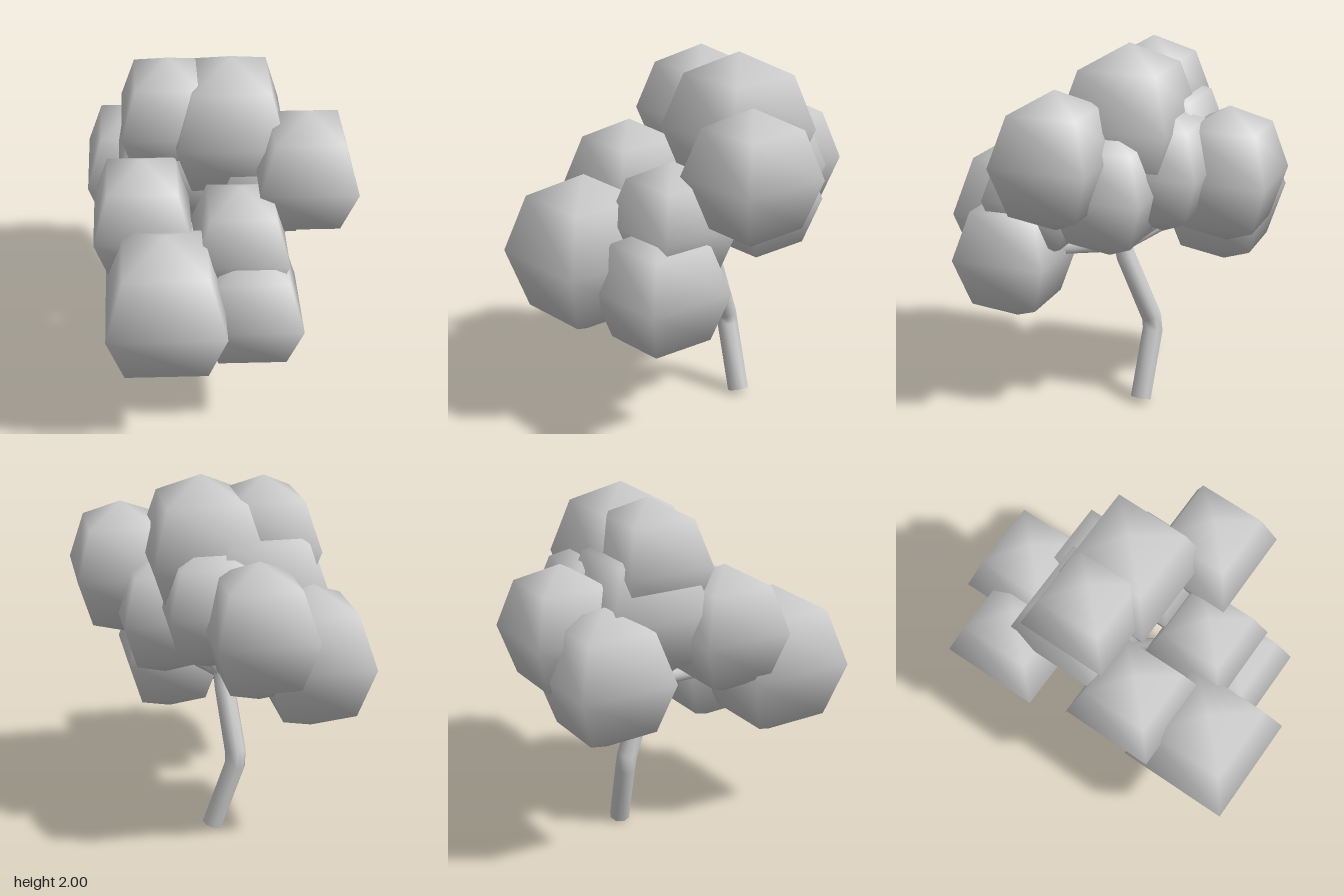
import * as THREE from 'three';

const V = (x, y, z) => new THREE.Vector3(x, y, z);
const material = new THREE.MeshStandardMaterial({ color: 0xcccccc });

// Tapered limb: one ring per point, square to the mean direction, with closed ends
function limb(points, radii, sides = 8) {
  const pos = [], index = [], n = points.length;
  points.forEach((p, i) => {
    const dir = points[Math.min(i + 1, n - 1)].clone().sub(points[Math.max(i - 1, 0)]).normalize();
    const ref = Math.abs(dir.y) > 0.6 ? V(0, 0, 1) : V(0, 1, 0);
    const u = ref.cross(dir).normalize();
    const v = dir.clone().cross(u);
    for (let k = 0; k < sides; k++) {
      const a = (k / sides) * Math.PI * 2;
      const q = p.clone().addScaledVector(u, Math.cos(a) * radii[i]).addScaledVector(v, Math.sin(a) * radii[i]);
      pos.push(q.x, q.y, q.z);
      const k2 = (k + 1) % sides;
      if (i < n - 1) {
        const b = i * sides, c = b + sides;
        index.push(b + k, b + k2, c + k, b + k2, c + k2, c + k);
      }
    }
  });
  // End caps with their own vertices, so the rims stay sharp
  for (const [ring, flip] of [[0, true], [n - 1, false]]) {
    const start = pos.length / 3;
    pos.push(...pos.slice(ring * sides * 3, (ring + 1) * sides * 3));
    for (let k = 1; k < sides - 1; k++) {
      index.push(start, start + (flip ? k + 1 : k), start + (flip ? k : k + 1));
    }
  }
  const g = new THREE.BufferGeometry();
  g.setAttribute('position', new THREE.Float32BufferAttribute(pos, 3));
  g.setIndex(index);
  g.computeVertexNormals();
  return g;
}

function add(parent, geometry, name) {
  const mesh = new THREE.Mesh(geometry, material);
  mesh.name = name;
  parent.add(mesh);
  return mesh;
}

export function createModel() {
  const tree = new THREE.Group();
  tree.name = 'tree';

  // Bent trunk
  add(tree, limb(
    [V(0.355, 0.017, 0.005), V(0.285, 0.38, -0.1), V(0.275, 0.45, -0.098), V(0.2, 0.8, 0.025), V(0.18, 0.93, 0.05)],
    [0.058, 0.058, 0.058, 0.056, 0.05]), 'trunk');

  // Foliage clumps: x, y, z, radius
  const clumps = [
    [-0.46, 0.95, 0.345, 0.44],
    [-0.03, 0.83, 0.575, 0.367],
    [0.43, 1.447, 0.53, 0.366],
    [0.02, 1.155, 0.44, 0.346],
    [-0.26, 1.235, -0.01, 0.365],
    [0.335, 1.585, 0.07, 0.414],
    [0.12, 1.625, -0.175, 0.36],
    [0.25, 1.105, -0.56, 0.388],
    [0.53, 1.295, -0.417, 0.367],
    [0.47, 1.35, -0.065, 0.34],
    [0.45, 1.255, 0.237, 0.343],
    [0.18, 1.38, -0.2, 0.42],
  ];

  // Branches fan out from the fork into the clumps
  const branches = new THREE.Group();
  branches.name = 'branches';
  tree.add(branches);
  const fork = V(0.19, 0.87, 0.04);
  clumps.forEach(([x, y, z]) => {
    const end = V(x, y, z);
    const mid = fork.clone().lerp(end, 0.45);
    add(branches, limb([fork, mid, end], [0.045, 0.036, 0.025], 6), 'branch');
  });

  const foliage = new THREE.Group();
  foliage.name = 'foliage';
  tree.add(foliage);
  clumps.forEach(([x, y, z, r]) => {
    add(foliage, new THREE.SphereGeometry(r, 4, 4), 'leafClump').position.set(x, y, z);
  });

  return tree;
}
